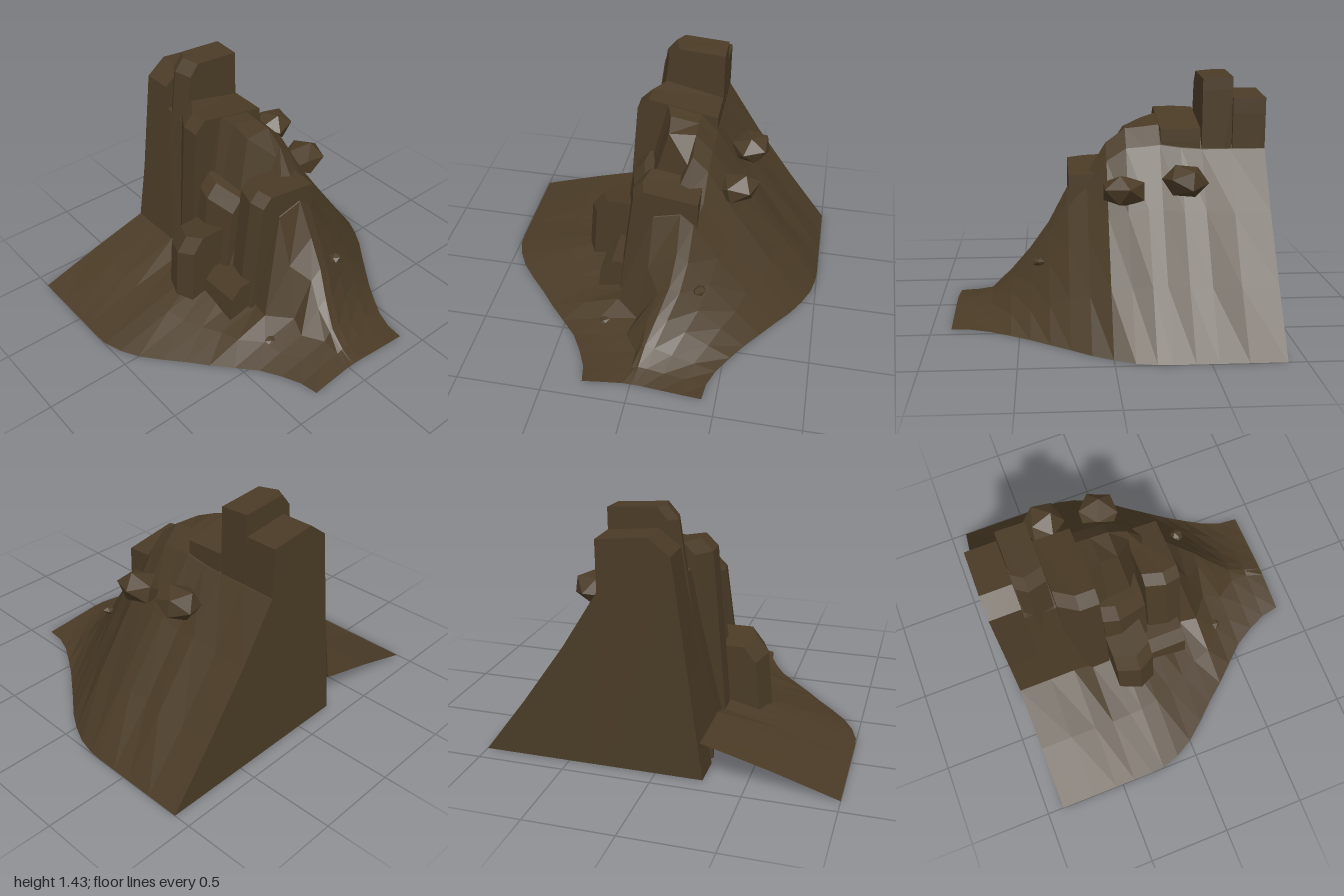
import * as THREE from 'three';

const rock = new THREE.MeshStandardMaterial({ color: 0x4a3b26, side: THREE.DoubleSide });
rock.name = 'brown rock';

// Joins equal-length rows of points into faceted quads; closed rows get a top cap
function loft(rows, closed = false) {
  const pos = [];
  const tri = (a, b, c) => pos.push(...a, ...b, ...c);
  for (let i = 0; i < rows.length - 1; i++) {
    const a = rows[i], b = rows[i + 1], n = a.length;
    for (let j = 0; j < (closed ? n : n - 1); j++) {
      const k = (j + 1) % n;
      tri(a[j], a[k], b[k]);
      tri(a[j], b[k], b[j]);
    }
  }
  if (closed) {
    const top = rows[rows.length - 1];
    for (let j = 1; j < top.length - 1; j++) tri(top[0], top[j], top[j + 1]);
  }
  const geo = new THREE.BufferGeometry();
  geo.setAttribute('position', new THREE.Float32BufferAttribute(pos, 3));
  geo.computeVertexNormals();
  return geo;
}

// Rock pillar, open below, with an angular front, tapering up to a bevelled shoulder.
// x: left, crease, right; tops: heights left and right; tilt: how much lower the back is;
// front: z at base, shoulder, top; bend: z offset of each front corner
function pillar({ x, back, tops, tilt, drop, front, bend }) {
  const ring = (z, yAt, fall) => [
    [x[0], back, fall], [x[0], z + bend[0], 0], [x[1], z + bend[1], 0],
    [x[2], z + bend[2], 0], [x[2], back, fall],
  ].map(([px, pz, f]) => [px, yAt(px) - f, pz]);
  const topY = px => THREE.MathUtils.mapLinear(px, x[0], x[2], tops[0], tops[1]);
  return loft([
    ring(front[0], () => 0, 0),
    ring(front[1], px => topY(px) - drop, tilt),
    ring(front[2], topY, tilt),
  ], true);
}

export function createModel() {
  const group = new THREE.Group();
  const add = (name, geo) => {
    const mesh = new THREE.Mesh(geo, rock);
    mesh.name = name;
    group.add(mesh);
    return mesh;
  };

  // Stations along the hill: x, back z, ridge z y, brow z y, base z y, front z
  const stations = [
    [-0.9, -1, -0.2, 1.1, 0.1, 1.08, 0.25, 0.22, 1],
    [-0.7, -1, -0.2, 1.1, 0.1, 1.08, 0.25, 0.22, 1],
    [-0.54, -1, -0.2, 1.1, 0.1, 1.05, 0.25, 0.225, 1],
    [-0.42, -1, -0.2, 1.11, 0.05, 1.1, 0.25, 0.19, 1],
    [-0.3, -1, -0.2, 1.13, 0, 1.17, 0.24, 0.2, 1],
    [-0.22, -0.995, -0.2, 1.12, -0.03, 1.15, 0.24, 0.21, 0.995],
    [-0.11, -0.97, -0.2, 1.11, -0.04, 1.1, 0.23, 0.19, 0.96],
    [0, -0.92, -0.2, 1.03, -0.17, 0.97, 0.22, 0.17, 0.9],
    [0.11, -0.855, -0.2, 0.85, -0.12, 0.82, 0.2, 0.14, 0.81],
    [0.22, -0.77, -0.17, 0.77, -0.01, 0.73, 0.17, 0.13, 0.71],
    [0.33, -0.69, -0.17, 0.56, 0, 0.43, 0.19, 0.14, 0.62],
    [0.44, -0.61, -0.15, 0.4, -0.08, 0.34, 0.05, 0.11, 0.52],
    [0.55, -0.54, -0.1, 0.26, -0.04, 0.22, 0.09, 0.075, 0.42],
    [0.67, -0.47, -0.05, 0.13, -0.03, 0.12, 0.01, 0.065, 0.35],
    [0.78, -0.43, -0.03, 0.065, -0.02, 0.06, 0.01, 0.05, 0.3],
    [0.89, -0.42, -0.03, 0.035, -0.01, 0.035, 0.04, 0.035, 0.28],
  ];
  // Back slope rises to the ridge, cliff drops to the base, skirt runs out to the front
  const lerp = THREE.MathUtils.lerp;
  const rows = stations.map(([x, zb, zr, yr, zbrow, ybrow, zbase, ybase, zf], i) => {
    const bump = 0.012 * yr * Math.sin(i * 2.4);
    return [
      [x, 0, zb],
      [x, yr * 0.3, lerp(zb, zr, 0.31) + bump],
      [x, yr * 0.62 - bump, lerp(zb, zr, 0.62)],
      [x, yr * 0.91, lerp(zb, zr, 0.87)],
      [x, yr, zr],
      [x, ybrow, zbrow],
      [x, ybase, zbase],
      [x, ybase * 0.53 + bump * 0.4, lerp(zbase, zf, 0.5)],
      [x, 0, zf],
    ];
  });
  add('hillside', loft(rows));

  // Flat cut closing the left end of the back slope
  const profile = rows[0].slice(0, 5);
  add('endWall', loft([profile, profile.map(([x, , z]) => [x, 0, z])]));

  // Cliff pillars
  const pillars = {
    endPillar: { x: [-0.9, -0.8, -0.715], back: -0.3, tops: [1.32, 1.32], tilt: 0.03, drop: 0.09, front: [0.265, 0.1, -0.02], bend: [0, 0, 0] },
    tallPillar: { x: [-0.71, -0.65, -0.54], back: -0.3, tops: [1.43, 1.42], tilt: 0.02, drop: 0.07, front: [0.25, 0.06, 0], bend: [-0.03, 0.01, -0.02] },
    broadPillar: { x: [-0.53, -0.42, -0.305], back: -0.3, tops: [1.2, 1.195], tilt: 0.08, drop: 0.07, front: [0.28, 0.19, 0.12], bend: [-0.07, 0, 0] },
    middlePillar: { x: [-0.295, -0.2, -0.02], back: -0.1, tops: [0.83, 0.77], tilt: 0, drop: 0.08, front: [0.28, 0.18, 0.11], bend: [0, 0.02, -0.03] },
    frontPillar: { x: [-0.3, -0.17, -0.07], back: 0.15, tops: [0.53, 0.57], tilt: 0, drop: 0.09, front: [0.48, 0.44, 0.37], bend: [-0.03, 0.02, -0.03] },
    lowBlock: { x: [-0.07, 0.08, 0.19], back: 0.15, tops: [0.31, 0.315], tilt: 0, drop: 0.07, front: [0.36, 0.33, 0.26], bend: [0, 0, 0] },
    rightPillar: { x: [0, 0.12, 0.215], back: -0.27, tops: [0.92, 0.9], tilt: 0.05, drop: 0.06, front: [0.22, 0.11, 0.05], bend: [-0.01, 0.02, 0] },
  };
  for (const [name, spec] of Object.entries(pillars)) add(name, pillar(spec));

  // Boulders and stones: x, y, z, radius, flattening, turn
  [
    ['upperBoulder', -0.42, 0.86, -0.5, 0.13, 0.75, 0.3],
    ['sideBoulder', -0.085, 0.8, -0.465, 0.138, 0.68, 1.2],
    ['backStone', 0.39, 0.36, -0.32, 0.042, 0.6, 2],
    ['frontStone', 0.44, 0.06, 0.25, 0.04, 0.4, 3],
  ].forEach(([name, x, y, z, r, flat, turn]) => {
    const stone = add(name, new THREE.IcosahedronGeometry(r, 0));
    stone.position.set(x, y, z);
    stone.scale.y = flat;
    stone.rotation.set(0.15, turn, 0.1);
  });

  return group;
}
